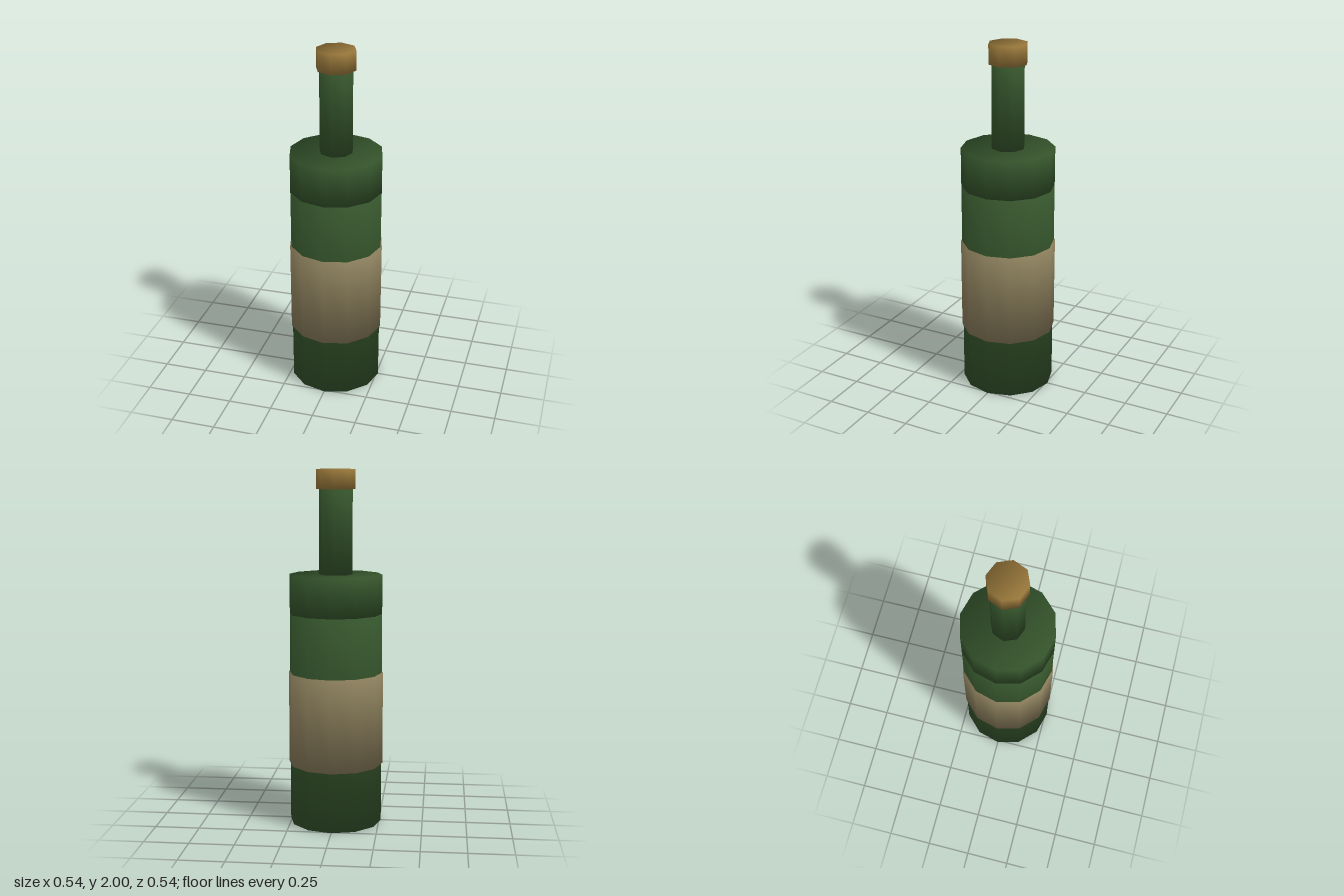
import * as THREE from 'three';

const glass = new THREE.MeshStandardMaterial({ name: 'greenGlass', color: 0x33522a });
const paper = new THREE.MeshStandardMaterial({ name: 'labelPaper', color: 0x877b59 });
const corkBrown = new THREE.MeshStandardMaterial({ name: 'corkBrown', color: 0x957539 });

// Upright closed prism with corners on the axes, shaded smooth over all its edges
function prism(name, sides, radius, bottom, top, material) {
  const corners = [];
  for (let i = 0; i < sides; i++) {
    const a = (i / sides) * Math.PI * 2;
    corners.push(new THREE.Vector2(Math.cos(a) * radius, Math.sin(a) * radius));
  }
  const geometry = new THREE.ExtrudeGeometry(new THREE.Shape(corners), {
    depth: top - bottom, bevelEnabled: false, steps: 1,
  });
  geometry.rotateX(-Math.PI / 2).translate(0, bottom, 0);

  // Each corner normal blends the outward direction with the cap direction
  const position = geometry.attributes.position;
  const normal = new THREE.Vector3();
  const middle = (bottom + top) / 2;
  for (let i = 0; i < position.count; i++) {
    const up = position.getY(i) > middle ? 0.87 : -0.87;
    normal.set(position.getX(i) / radius, up, position.getZ(i) / radius).normalize();
    geometry.attributes.normal.setXYZ(i, normal.x, normal.y, normal.z);
  }
  const mesh = new THREE.Mesh(geometry, material);
  mesh.name = name;
  return mesh;
}

export function createModel() {
  const bottle = new THREE.Group();
  bottle.name = 'bottle';
  bottle.add(
    prism('body', 12, 0.261, 0, 1.2, glass),
    prism('label', 12, 0.268, 0.34, 0.865, paper),
    prism('shoulder', 12, 0.261, 1.2, 1.42, glass),
    prism('neck', 8, 0.094, 1.42, 1.89, glass),
    prism('cork', 8, 0.11, 1.89, 2, corkBrown),
  );
  return bottle;
}
